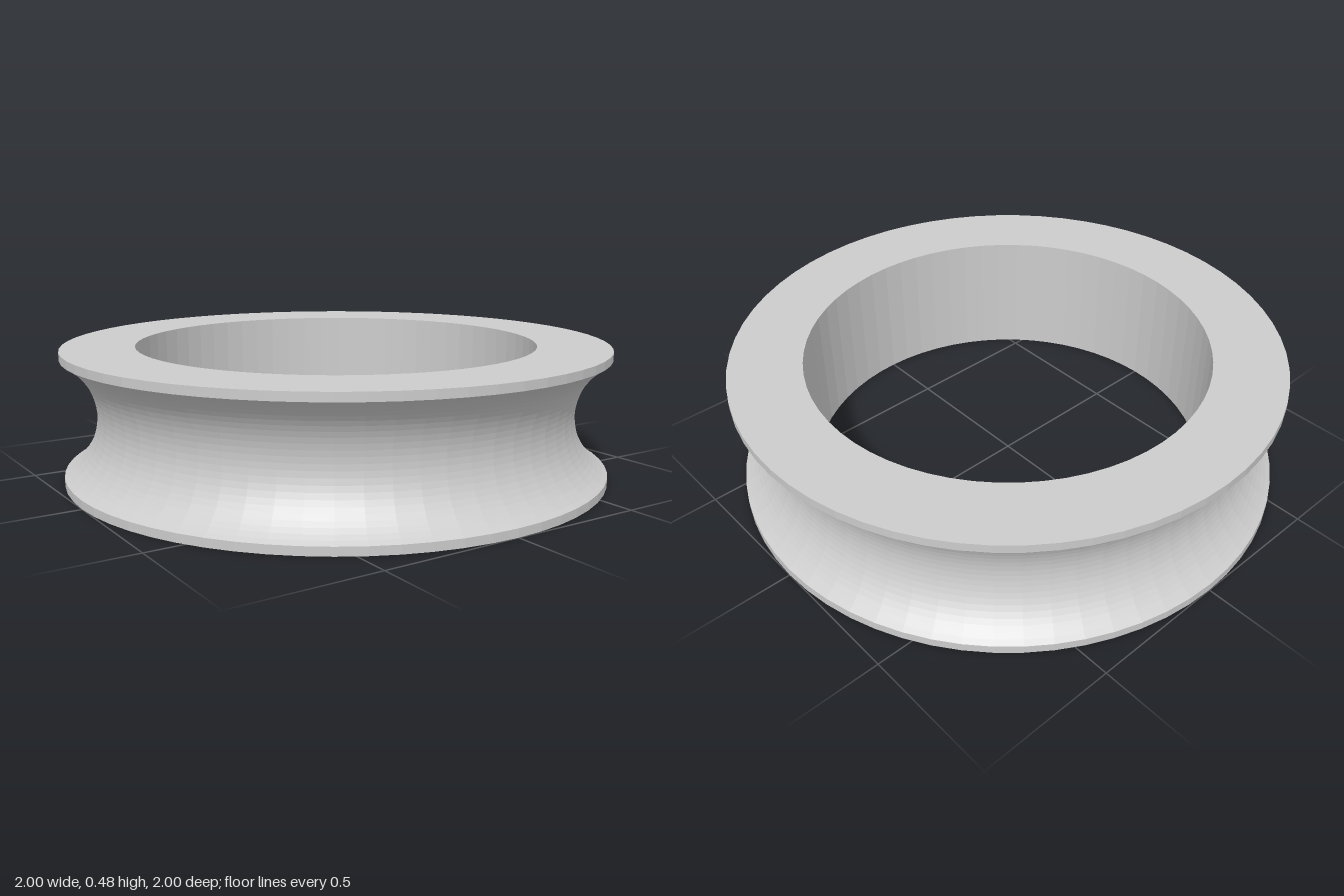
import * as THREE from 'three';

const HEIGHT = 0.48, RIM = 0.03, OUTER = 1, BORE = 0.735, WAIST = 0.877;
const SEGMENTS = 64, ARC_STEPS = 24;

// Concave groove: a circular arc from the lower rim to the upper rim
function groovePoints() {
  const half = HEIGHT / 2 - RIM, depth = OUTER - WAIST;
  const radius = (half * half + depth * depth) / (2 * depth);
  const sweep = Math.asin(half / radius);
  const points = [];
  for (let i = 0; i <= ARC_STEPS; i++) {
    const a = sweep * (2 * i / ARC_STEPS - 1);
    points.push(new THREE.Vector2(
      WAIST + radius - radius * Math.cos(a),
      HEIGHT / 2 + radius * Math.sin(a)
    ));
  }
  return points;
}

export function createModel() {
  const group = new THREE.Group();
  group.name = 'groovedRing';

  // Closed cross-section: bottom face, lower rim, groove, upper rim, top face, bore
  const profile = [
    new THREE.Vector2(BORE, 0),
    new THREE.Vector2(OUTER, 0),
    ...groovePoints(),
    new THREE.Vector2(OUTER, HEIGHT),
    new THREE.Vector2(BORE, HEIGHT),
    new THREE.Vector2(BORE, 0),
  ];

  const ring = new THREE.Mesh(
    new THREE.LatheGeometry(profile, SEGMENTS),
    new THREE.MeshStandardMaterial({ color: 0xcccccc, flatShading: true })
  );
  ring.name = 'ring';
  group.add(ring);
  return group;
}
